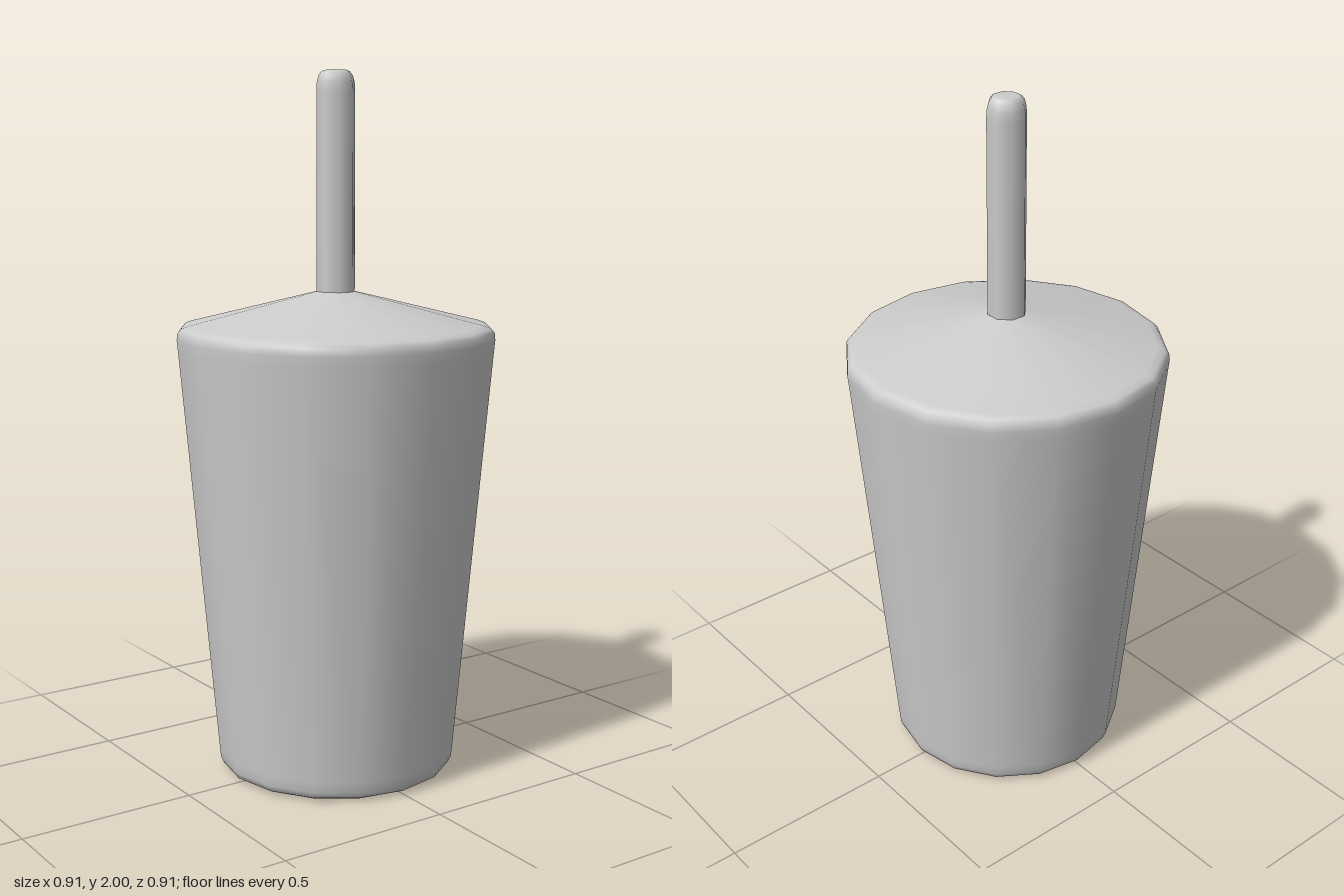
import * as THREE from 'three';

const grey = new THREE.MeshStandardMaterial({ color: 0xcccccc });

// Smooth solid of revolution from [radius, height] pairs, listed bottom to top
function turned(name, profile, sides, turn = 0) {
  const points = profile.map(([r, y]) => new THREE.Vector2(r, y));
  const mesh = new THREE.Mesh(new THREE.LatheGeometry(points, sides, turn), grey);
  mesh.name = name;
  return mesh;
}

export function createModel() {
  const group = new THREE.Group();
  group.name = 'taperedBodyWithStem';

  // Tapered body: flat base, softened rims and a shallow conical top
  group.add(turned('body', [
    [0, 0], [0.305, 0], [0.318, 0.003], [0.336, 0.012], [0.344, 0.03], [0.347, 0.06],
    [0.45, 1.23], [0.453, 1.26], [0.451, 1.28], [0.441, 1.292], [0.42, 1.299],
    [0.06, 1.388], [0, 1.4],
  ], 16));

  // Slim eight-sided stem with a rounded tip
  group.add(turned('stem', [
    [0.055, 1.36], [0.055, 1.94], [0.054, 1.965], [0.049, 1.985],
    [0.041, 1.996], [0.034, 2], [0, 2],
  ], 8, Math.PI / 8));

  return group;
}
